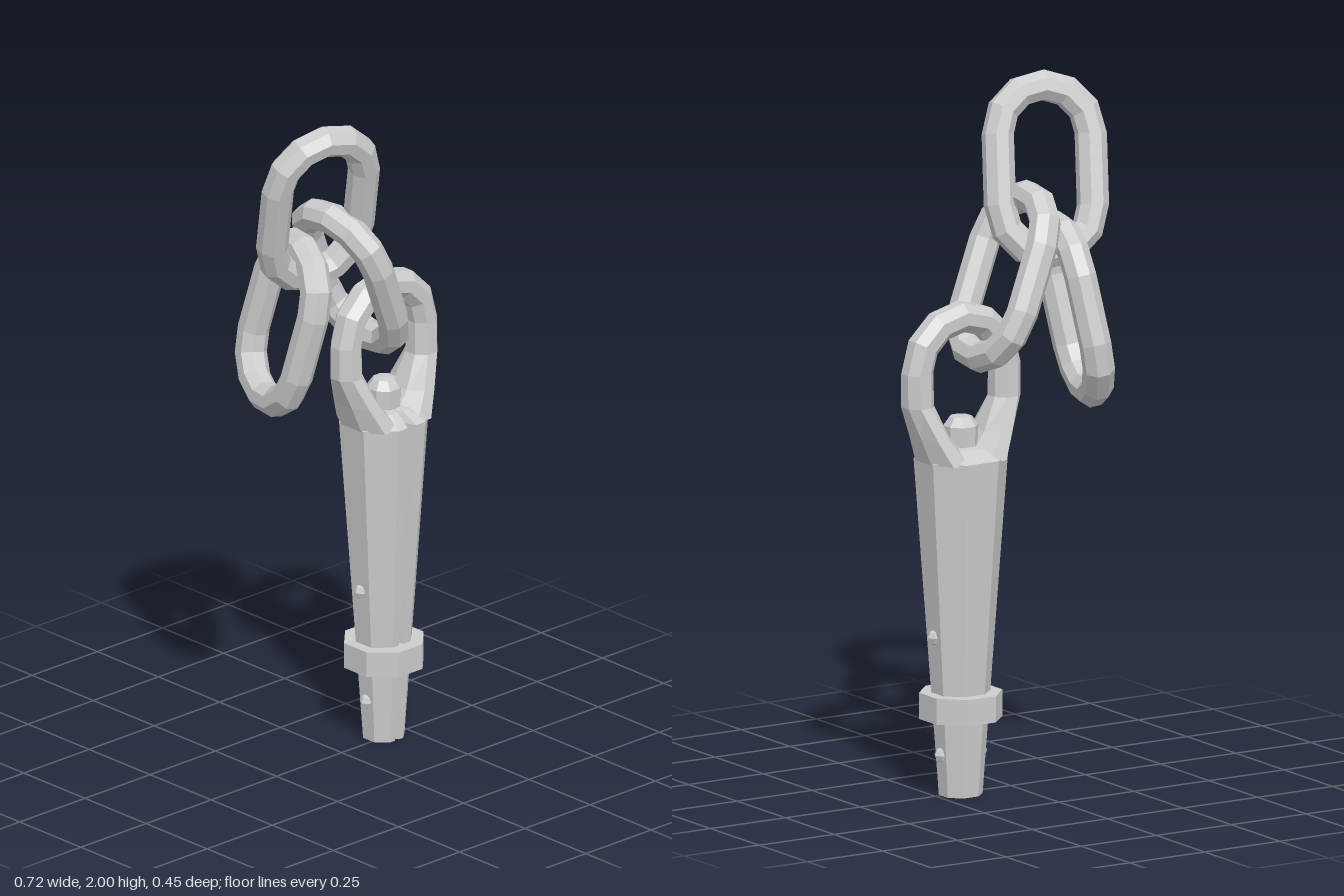
import * as THREE from 'three';

const mat = new THREE.MeshStandardMaterial({ color: 0xcccccc, flatShading: true, side: THREE.DoubleSide });
const V = (x, y, z) => new THREE.Vector3(x, y, z);
const SIDES = 8;

// Skin a list of point rings; closed joins last to first, otherwise ends are fanned to cap points
function loft(rings, closed, caps) {
  const n = rings[0].length, m = rings.length, idx = [];
  const pts = rings.flat();
  for (let i = 0; i < (closed ? m : m - 1); i++) {
    const p = i * n, q = ((i + 1) % m) * n;
    for (let j = 0; j < n; j++) {
      const k = (j + 1) % n;
      idx.push(p + j, p + k, q + k, p + j, q + k, q + j);
    }
  }
  if (caps) {
    const s = pts.length, e = (m - 1) * n;
    pts.push(...caps);
    for (let j = 0; j < n; j++) {
      const k = (j + 1) % n;
      idx.push(s, k, j, s + 1, e + j, e + k);
    }
  }
  const g = new THREE.BufferGeometry().setFromPoints(pts);
  g.setIndex(idx);
  const flat = g.toNonIndexed();
  flat.computeVertexNormals();
  return flat;
}

// Octagonal section around c, with half extents given by the vectors a and b
function section(c, a, b) {
  const k = 1 / Math.cos(Math.PI / SIDES);
  return Array.from({ length: SIDES }, (_, j) => {
    const t = ((j + 0.5) / SIDES) * Math.PI * 2;
    return c.clone().addScaledVector(a, Math.cos(t) * k).addScaledVector(b, Math.sin(t) * k);
  });
}

function add(parent, name, geometry, x = 0, y = 0, z = 0) {
  const mesh = new THREE.Mesh(geometry, mat);
  mesh.name = name;
  mesh.position.set(x, y, z);
  parent.add(mesh);
  return mesh;
}

// Stadium-shaped link: u is the long axis, w the hint for its width direction
function chainLink(center, u, w) {
  const r = 0.137, half = 0.1, tube = 0.042;
  u.normalize();
  w.addScaledVector(u, -w.dot(u)).normalize();
  const b = w.clone().cross(u).multiplyScalar(-tube);
  const rings = [];
  for (const end of [0, 1]) {
    const c = center.clone().addScaledVector(u, end ? -half : half);
    for (let i = 0; i <= 6; i++) {
      const t = Math.PI * (end + i / 6);
      const a = w.clone().multiplyScalar(Math.cos(t)).addScaledVector(u, Math.sin(t));
      rings.push(section(c.clone().addScaledVector(a, r), a.multiplyScalar(tube), b));
    }
  }
  return loft(rings, true);
}

// Eye ring on top of the spike, its feet flaring into shoulders
function eyeRing() {
  // [x, y, half width, half depth]
  const leg = [[0.062, 0.965, 0.0625, 0.1], [0.105, 1.04, 0.046, 0.075], [0.144, 1.13, 0.043, 0.046]];
  const side = (s, [x, y, h, d]) => section(V(s * x, y, 0), V(s * h, 0, 0), V(0, 0, -d));
  const rings = leg.map((l) => side(1, l));
  for (let i = 0; i <= 6; i++) {
    const t = (Math.PI * i) / 6, a = V(Math.cos(t), Math.sin(t), 0);
    const c = a.clone().multiplyScalar(0.145).add(V(0, 1.225, 0));
    rings.push(section(c, a.multiplyScalar(0.042), V(0, 0, -0.043)));
  }
  rings.push(...leg.slice().reverse().map((l) => side(-1, l)));
  return loft(rings, false, [V(0.062, 0.965, 0), V(-0.062, 0.965, 0)]);
}

// Tapered octagonal spike with a groove down its front
function spikeBody() {
  const outline = [
    [0.13, 0.92], [0.42, 0.92], [1, 0.4], [1, -0.4], [0.42, -0.92],
    [-0.42, -0.92], [-1, -0.4], [-1, 0.4], [-0.42, 0.92], [-0.13, 0.92], [0, 0.62],
  ];
  const levels = [[0, 0.058], [0.97, 0.125], [1.0, 0.075]];
  const rings = levels.map(([y, r]) => outline.map(([x, z]) => V(x * r, y, z * r)));
  return loft(rings, false, [V(0, 0, 0), V(0, 1.01, 0)]);
}

export function createModel() {
  const model = new THREE.Group();
  model.name = 'chainedSpike';

  // Spike
  const spike = new THREE.Group();
  spike.name = 'spike';
  spike.position.set(0.175, 0, -0.014);
  model.add(spike);
  add(spike, 'spikeBody', spikeBody());
  add(spike, 'eyeRing', eyeRing());
  const collarR = 0.11 / Math.cos(Math.PI / 8);
  add(spike, 'collar', new THREE.CylinderGeometry(collarR, collarR, 0.075, 8).rotateY(Math.PI / 8), 0, 0.258, 0);

  // Rounded knob inside the eye
  const knob = [[0.048, 0.96], [0.05, 1.06], [0.032, 1.085], [0, 1.088]].map((p) => new THREE.Vector2(...p));
  add(spike, 'knob', new THREE.LatheGeometry(knob, 8).rotateY(Math.PI / 8));

  // Side studs
  for (const s of [1, -1]) {
    for (const [y, x] of [[0.46, 0.087], [0.12, 0.064]]) {
      add(spike, 'stud', new THREE.SphereGeometry(0.022, 6, 4), s * x, y, 0);
    }
  }

  // Chain
  const chain = new THREE.Group();
  chain.name = 'chain';
  model.add(chain);
  add(chain, 'topLink', chainLink(V(-0.173, 1.73, 0.088), V(-0.06, 0.46, 0.12), V(1, 0, 0.25)));
  add(chain, 'middleLink', chainLink(V(0.002, 1.455, 0.033), V(-0.19, 0.41, 0.06), V(0, 0, 1)));
  add(chain, 'hangingLink', chainLink(V(-0.19, 1.35, -0.035), V(0.05, 0.46, 0.11), V(-0.25, 0, 0.95)));

  return model;
}
